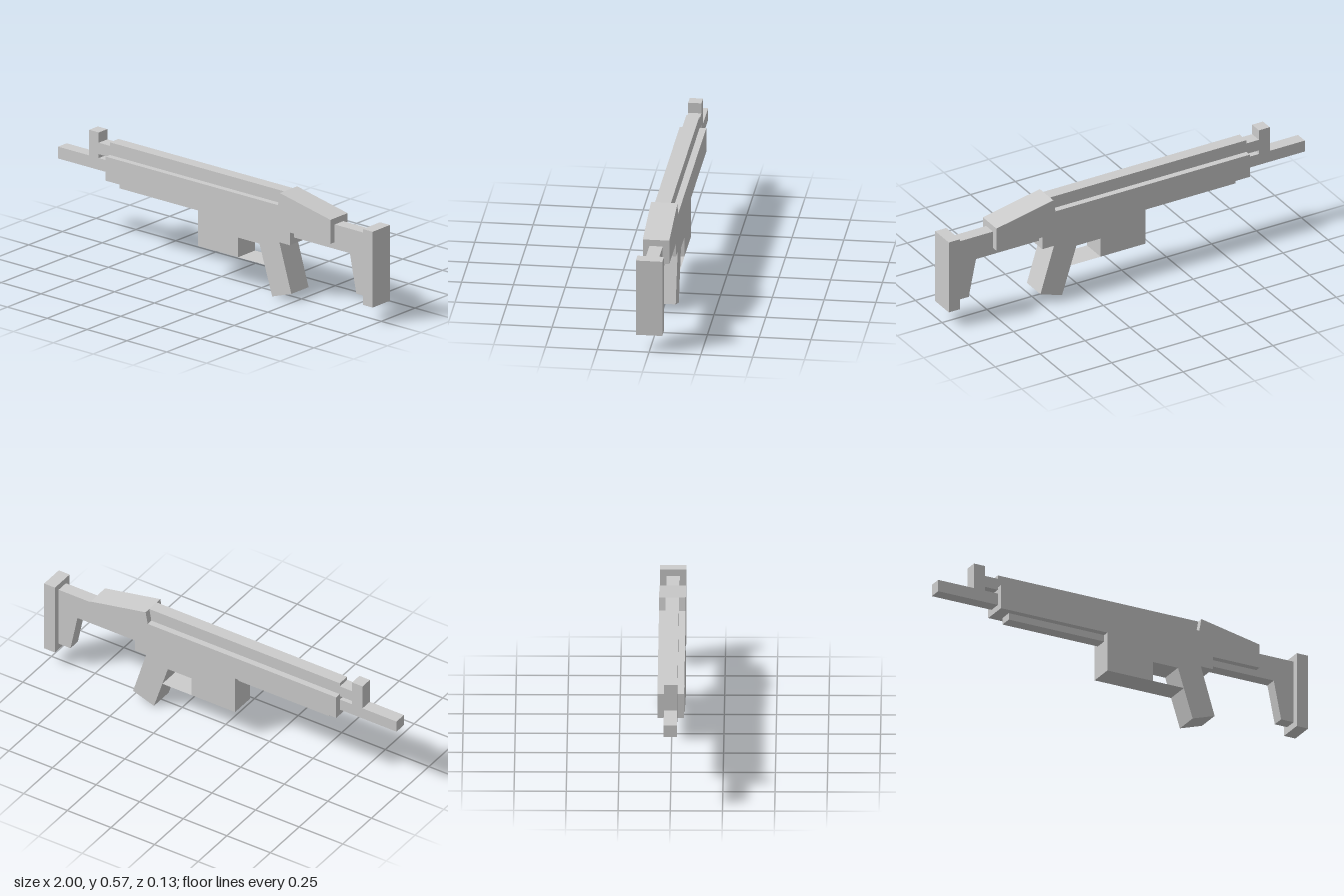
import * as THREE from 'three';

const material = new THREE.MeshStandardMaterial({ color: 0xcccccc, flatShading: true });
const WIDE = 0.128, NARROW = 0.064;

// Side outline in x/y, extruded evenly about z = 0
function slab(name, width, points) {
  const shape = new THREE.Shape(points.map(([x, y]) => new THREE.Vector2(x, y)));
  const geometry = new THREE.ExtrudeGeometry(shape, { depth: width, bevelEnabled: false });
  geometry.translate(0, 0, -width / 2);
  const mesh = new THREE.Mesh(geometry, material);
  mesh.name = name;
  return mesh;
}

export function createModel() {
  const group = new THREE.Group();
  group.name = 'rifle';

  // Wide receiver with magazine housing and slanted grip
  group.add(slab('receiver', WIDE, [
    [-0.675, 0.35], [-0.095, 0.35], [-0.095, 0.15], [0.155, 0.15], [0.155, 0.25],
    [0.29, 0.25], [0.37, 0], [0.49, 0.04], [0.415, 0.285], [0.48, 0.285],
    [0.48, 0.35], [0.735, 0.35], [0.735, 0.472], [0.418, 0.536], [0.406, 0.472],
    [-0.675, 0.472],
  ]));

  // Narrow barrel, front sight and top rail, with a slot behind the sight
  group.add(slab('barrelAndTopRail', NARROW, [
    [-1, 0.38], [-0.66, 0.38], [-0.66, 0.44], [-0.745, 0.44], [-0.745, 0.46],
    [-0.66, 0.46], [0.418, 0.46], [0.418, 0.536], [-0.675, 0.536], [-0.675, 0.518],
    [-0.745, 0.518], [-0.745, 0.57], [-0.805, 0.57], [-0.805, 0.44], [-1, 0.44],
  ]));

  // Narrow rail under the fore-end
  group.add(slab('lowerRail', NARROW, [
    [-0.615, 0.316], [-0.09, 0.316], [-0.09, 0.36], [-0.615, 0.36],
  ]));

  // Narrow stock and its wide butt plate
  group.add(slab('stock', NARROW, [
    [0.47, 0.316], [0.83, 0.316], [0.87, 0.12], [0.945, 0.12], [0.945, 0.44], [0.47, 0.44],
  ]));
  group.add(slab('buttPlate', WIDE, [[0.938, 0.087], [1, 0.087], [1, 0.472], [0.938, 0.472]]));

  // Thin sheet closing the trigger opening from below
  const guard = new THREE.Mesh(
    new THREE.PlaneGeometry(0.167, WIDE).rotateX(-Math.PI / 2),
    new THREE.MeshStandardMaterial({ color: 0xcccccc, flatShading: true, side: THREE.DoubleSide })
  );
  guard.name = 'triggerGuard';
  guard.position.set(0.2385, 0.15, 0);
  group.add(guard);

  return group;
}
